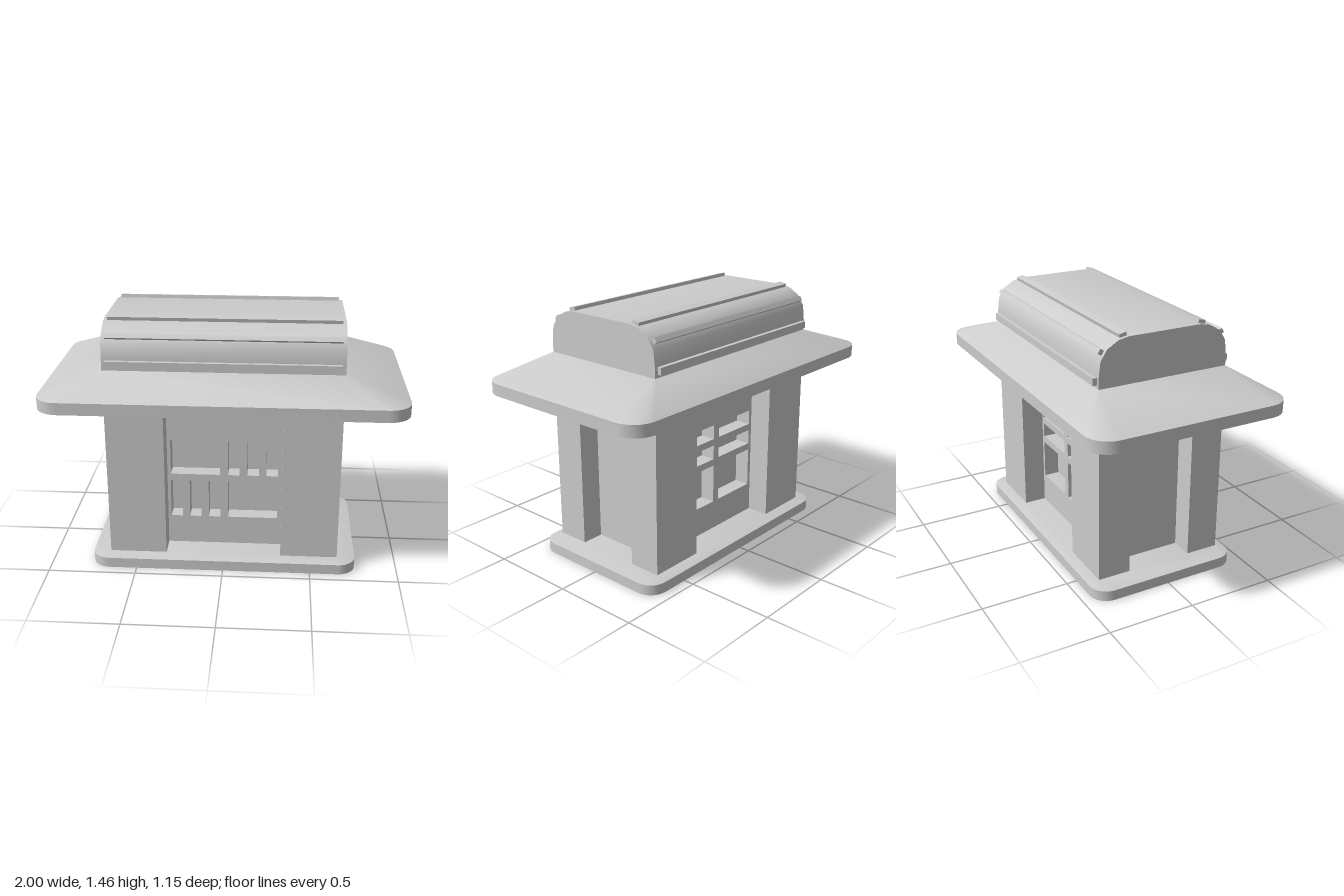
import * as THREE from 'three';
import { toCreasedNormals } from 'three/addons/utils/BufferGeometryUtils.js';

const material = new THREE.MeshStandardMaterial({ color: 0xcccccc });
const HALF_X = 0.655, HALF_Z = 0.38; // outer faces of the pillars
const FLOOR = 0.077, EAVES = 0.998;

function add(parent, name, geometry, x = 0, y = 0, z = 0) {
  const mesh = new THREE.Mesh(geometry, material);
  mesh.name = name;
  mesh.position.set(x, y, z);
  parent.add(mesh);
  return mesh;
}

// Outline of a rounded rectangle, always with the same number of points
function ring({ y, x, z, r }) {
  const points = [], steps = 8;
  for (let corner = 0; corner < 4; corner++) {
    const sx = corner === 0 || corner === 3 ? 1 : -1;
    const sz = corner < 2 ? 1 : -1;
    for (let i = 0; i <= steps; i++) {
      const a = (corner + i / steps) * Math.PI / 2;
      points.push([sx * (x - r) + r * Math.cos(a), y, sz * (z - r) + r * Math.sin(a)]);
    }
  }
  return points;
}

// Closed solid through a stack of rounded rectangles, bottom to top
function slab(sections) {
  const rings = sections.map(ring), n = rings[0].length, last = rings.length - 1;
  const position = [];
  const tri = (a, b, c) => position.push(...a, ...b, ...c);
  const bottom = [0, sections[0].y, 0], top = [0, sections[last].y, 0];
  for (let i = 0; i < n; i++) {
    const j = (i + 1) % n;
    for (let k = 0; k < last; k++) {
      tri(rings[k][i], rings[k + 1][i], rings[k + 1][j]);
      tri(rings[k][i], rings[k + 1][j], rings[k][j]);
    }
    tri(bottom, rings[0][i], rings[0][j]);
    tri(top, rings[last][j], rings[last][i]);
  }
  const geometry = new THREE.BufferGeometry();
  geometry.setAttribute('position', new THREE.Float32BufferAttribute(position, 3));
  return toCreasedNormals(geometry, 0.5);
}

function rectangle(path, [x0, x1, y0, y1]) {
  path.moveTo(x0, y0).lineTo(x1, y0).lineTo(x1, y1).lineTo(x0, y1).closePath();
  return path;
}

// Wall sheet with window openings
function windowWall(openings, halfWidth, depth) {
  const shape = rectangle(new THREE.Shape(), [-halfWidth, halfWidth, FLOOR, EAVES]);
  shape.holes = openings.map(o => rectangle(new THREE.Path(), o));
  return new THREE.ExtrudeGeometry(shape, { depth, bevelEnabled: false });
}

export function createModel() {
  const model = new THREE.Group();
  model.name = 'pavilion';

  // Plinth and eaves
  add(model, 'plinth', slab([
    { y: 0, x: 0.76, z: 0.44, r: 0.1 },
    { y: 0.06, x: 0.76, z: 0.44, r: 0.1 },
    { y: FLOOR, x: HALF_X, z: HALF_Z, r: 0 },
  ]));
  add(model, 'eaves', slab([
    { y: EAVES, x: 1, z: 0.575, r: 0.13 },
    { y: 1.066, x: 1, z: 0.575, r: 0.13 },
    { y: 1.185, x: HALF_X, z: HALF_Z, r: 0 },
  ]));

  // Corner pillars
  const height = EAVES - FLOOR, middle = (EAVES + FLOOR) / 2;
  for (const sx of [1, -1]) for (const sz of [1, -1])
    add(model, 'pillar', new THREE.BoxGeometry(0.325, height, 0.19), sx * 0.4925, middle, sz * 0.285);

  // Recessed walls with blind windows
  const wallX = 0.525, wallZ = 0.25, recess = 0.09;
  add(model, 'wallCore', new THREE.BoxGeometry(wallX * 2, height, (wallZ - recess) * 2), 0, middle, 0);
  const front = [[-0.31, -0.025, 0.52, 0.73], [0.02, 0.307, 0.25, 0.48]];
  for (let i = 0; i < 3; i++) {
    const x = 0.02 + i * 0.11;
    front.push([x, x + 0.067, 0.52, 0.73], [x - 0.332, x - 0.265, 0.25, 0.48]);
  }
  const back = [];
  for (const [x0, x1] of [[-0.31, -0.025], [0.02, 0.307]])
    for (const [y0, y1] of [[0.25, 0.48], [0.52, 0.605], [0.645, 0.73]]) back.push([x0, x1, y0, y1]);
  add(model, 'frontWall', windowWall(front, wallX, recess), 0, 0, wallZ - recess);
  add(model, 'backWall', windowWall(back, wallX, recess), 0, 0, recess - wallZ).rotation.y = Math.PI;

  // Barrel roof, profile drawn across the depth and extruded along x
  const side = [[HALF_Z, 1.18], [HALF_Z, 1.245], [0.37, 1.33], [0.333, 1.388], [0.268, 1.426], [0.21, 1.437]];
  const profile = [...side, ...side.map(([z, y]) => [-z, y]).reverse()];
  const roof = new THREE.ExtrudeGeometry(new THREE.Shape(profile.map(p => new THREE.Vector2(...p))),
    { depth: HALF_X * 2, bevelEnabled: false });
  roof.translate(0, 0, -HALF_X).rotateY(Math.PI / 2);
  add(model, 'roof', toCreasedNormals(roof, 0.7));

  // Roof battens: height, depth, tilt, thickness, width
  const battens = [
    [1.222, 0.388, Math.PI / 2, 0.03, 0.04],
    [1.371, 0.357, 1.0, 0.025, 0.028],
    [1.441, 0.233, 0.2, 0.022, 0.042],
  ];
  for (const s of [1, -1]) for (const [y, z, tilt, thick, width] of battens)
    add(model, 'roofBatten', new THREE.BoxGeometry(1.27, thick, width), 0, y, s * z).rotation.x = s * tilt;

  return model;
}
